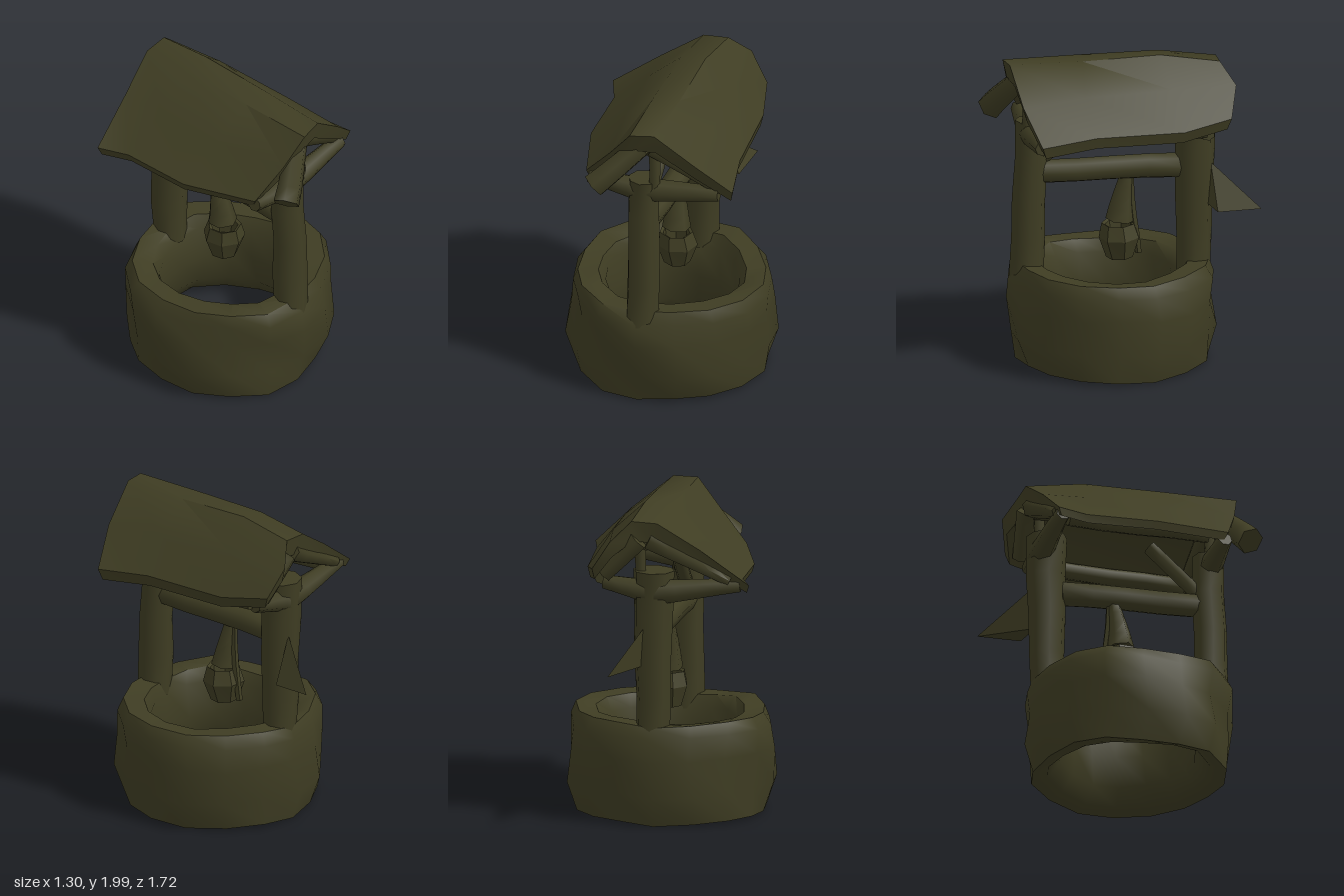
import * as THREE from 'three';
import { toCreasedNormals } from 'three/addons/utils/BufferGeometryUtils.js';

const olive = new THREE.MeshStandardMaterial({ color: 0x3f3d23, side: THREE.DoubleSide });
const V = (p) => new THREE.Vector3(...p);

// Uneven, hand-hewn surface: shift each vertex by a smooth rule of its position
function roughen(geo, amount) {
  const pos = geo.attributes.position;
  for (let i = 0; i < pos.count; i++) {
    const x = pos.getX(i), y = pos.getY(i), z = pos.getZ(i);
    pos.setXYZ(i,
      x + amount * Math.sin(9 * y + 7 * z + 1),
      y + amount * 0.7 * Math.sin(8 * x + 6 * z + 2),
      z + amount * Math.sin(7 * x + 11 * y + 3));
  }
  return geo;
}

function part(group, name, geo, crease = 0.75) {
  const mesh = new THREE.Mesh(toCreasedNormals(geo, crease), olive);
  mesh.name = name;
  group.add(mesh);
}

// Timber running from a to b, with its own radius at each end
function timber(group, name, a, b, ra, rb = ra, sides = 7) {
  const from = V(a), dir = V(b).sub(from);
  const geo = new THREE.CylinderGeometry(rb, ra, dir.length(), sides, 4);
  const turn = new THREE.Quaternion().setFromUnitVectors(new THREE.Vector3(0, 1, 0), dir.clone().normalize());
  geo.applyQuaternion(turn);
  geo.translate(...from.addScaledVector(dir, 0.5).toArray());
  part(group, name, roughen(geo, 0.005), 1.1);
}

// Sagging roof slab lofted through stations running back to front
function roofGeometry() {
  const stations = [
    [[-0.6, 1.55, -0.49], [-0.3, 1.77, -0.54], [-0.04, 1.94, -0.6], [0.12, 1.95, -0.61], [0.24, 1.83, -0.7], [0.36, 1.65, -0.66]],
    [[-0.52, 1.55, -0.3], [-0.28, 1.78, -0.25], [-0.05, 1.98, -0.24], [0.11, 2.0, -0.24], [0.3, 1.83, -0.3], [0.45, 1.6, -0.36]],
    [[-0.5, 1.55, 0.15], [-0.25, 1.77, 0.2], [-0.04, 1.97, 0.25], [0.13, 1.98, 0.25], [0.34, 1.81, 0.25], [0.51, 1.6, 0.2]],
    [[-0.35, 1.58, 0.62], [-0.17, 1.78, 0.69], [-0.02, 1.96, 0.73], [0.13, 1.97, 0.7], [0.38, 1.77, 0.64], [0.59, 1.57, 0.54]],
  ];
  const thick = [0.05, 0.1, 0.13, 0.13, 0.1, 0.07];
  const n = 12, verts = [], index = [];
  for (const s of stations) {
    const under = s.map(([x, y, z], i) => [x * 0.97, y - thick[i], z * 0.96]).reverse();
    for (const p of [...s, ...under]) verts.push(...p);
  }
  for (let k = 0; k < stations.length - 1; k++) {
    for (let i = 0; i < n; i++) {
      const a = k * n + i, b = k * n + (i + 1) % n;
      index.push(a, a + n, b, b, a + n, b + n);
    }
  }
  // End caps between the upper and lower skins
  const last = (stations.length - 1) * n;
  for (let i = 0; i < 5; i++) {
    const j = n - 1 - i;
    index.push(i, i + 1, j, i + 1, j - 1, j);
    index.push(last + i, last + j, last + i + 1, last + i + 1, last + j, last + j - 1);
  }
  const geo = new THREE.BufferGeometry();
  geo.setAttribute('position', new THREE.Float32BufferAttribute(verts, 3));
  geo.setIndex(index);
  return geo;
}

export function createModel() {
  const well = new THREE.Group();
  well.name = 'well';

  // Round stone wall: an open shaft with a rounded rim and a softly flared foot
  const profile = [[0.42, 0.16], [0.49, 0.05], [0.59, 0.02], [0.63, 0.2], [0.625, 0.42], [0.625, 0.57],
    [0.585, 0.645], [0.46, 0.64], [0.42, 0.56], [0.41, 0.35], [0.42, 0.16]].map(([r, y]) => new THREE.Vector2(r, y));
  const wall = new THREE.LatheGeometry(profile, 16);
  wall.scale(1.02, 1, 1.02);
  wall.translate(0.005, 0, 0.055);
  part(well, 'stoneWall', roughen(wall, 0.018), 0.95);

  // Posts, flaring into the roof frame, with king posts and tie beams above
  timber(well, 'frontPost', [0.015, 0.55, 0.585], [0.01, 1.57, 0.55], 0.108, 0.1, 8);
  timber(well, 'backPost', [0.015, 0.55, -0.455], [0.01, 1.62, -0.465], 0.104, 0.13, 8);
  for (const [side, z, left, right] of [['front', 0.58, -0.34, 0.5], ['back', -0.49, -0.53, 0.32]]) {
    timber(well, side + 'KingPost', [0.09, 1.5, z], [0.08, 1.84, z], 0.035);
    for (const x of [left, right]) {
      timber(well, side + 'TieBeam', [0, 1.49, z - 0.02], [x, 1.54, z - x * 0.08], 0.08, 0.045);
    }
  }

  // Rafters under the gable ends; the front left one juts out
  timber(well, 'frontRafter', [0.02, 1.84, 0.63], [-0.24, 1.59, 0.78], 0.07, 0.085, 6);
  timber(well, 'frontRafter', [0.08, 1.83, 0.59], [0.5, 1.57, 0.5], 0.07, 0.055, 6);
  timber(well, 'backRafter', [0.02, 1.83, -0.54], [-0.47, 1.57, -0.47], 0.07, 0.04, 6);
  timber(well, 'backRafter', [0.08, 1.83, -0.56], [0.31, 1.6, -0.56], 0.07, 0.06, 6);

  // Long roof timbers
  timber(well, 'ridgeBeam', [0.04, 1.81, -0.53], [0.05, 1.81, 0.6], 0.055);
  timber(well, 'leftPurlin', [0.33, 1.57, -0.5], [0.45, 1.56, 0.48], 0.055);
  timber(well, 'rightPurlin', [-0.44, 1.55, -0.4], [-0.32, 1.56, 0.5], 0.05);
  timber(well, 'lengthBrace', [0, 1.31, 0.5], [0, 1.6, 0.18], 0.045);

  part(well, 'roof', roofGeometry(), 0.75);

  // Winding axle between the posts
  timber(well, 'axle', [0.01, 1.235, 0.5], [0.01, 1.245, -0.4], 0.075, 0.08, 8);

  // Pointed crank behind the back post
  const crank = new THREE.BufferGeometry();
  crank.setAttribute('position', new THREE.Float32BufferAttribute(
    [0.05, 1.27, -0.56, 0.2, 0.99, -0.59, 0.22, 1.01, -0.86, 0.06, 1.02, -0.52], 3));
  crank.setIndex([0, 1, 2, 0, 2, 3, 1, 3, 2, 0, 3, 1]);
  part(well, 'crank', crank, 0.1);

  // Rope spreading into the bucket handle
  timber(well, 'rope', [0.01, 0.9, 0], [0.01, 1.2, -0.04], 0.09, 0.04, 6);
  timber(well, 'handle', [0.01, 0.68, -0.11], [0.01, 1.17, -0.065], 0.022, 0.022, 5);

  // Bucket
  const bucketProfile = [[0, 0.65], [0.085, 0.66], [0.13, 0.79], [0.105, 0.88], [0.085, 0.87], [0.08, 0.75], [0, 0.73]]
    .map(([r, y]) => new THREE.Vector2(r, y));
  const bucket = new THREE.LatheGeometry(bucketProfile, 7);
  bucket.translate(0.01, 0, 0.01);
  part(well, 'bucket', roughen(bucket, 0.008), 0.4);

  return well;
}
